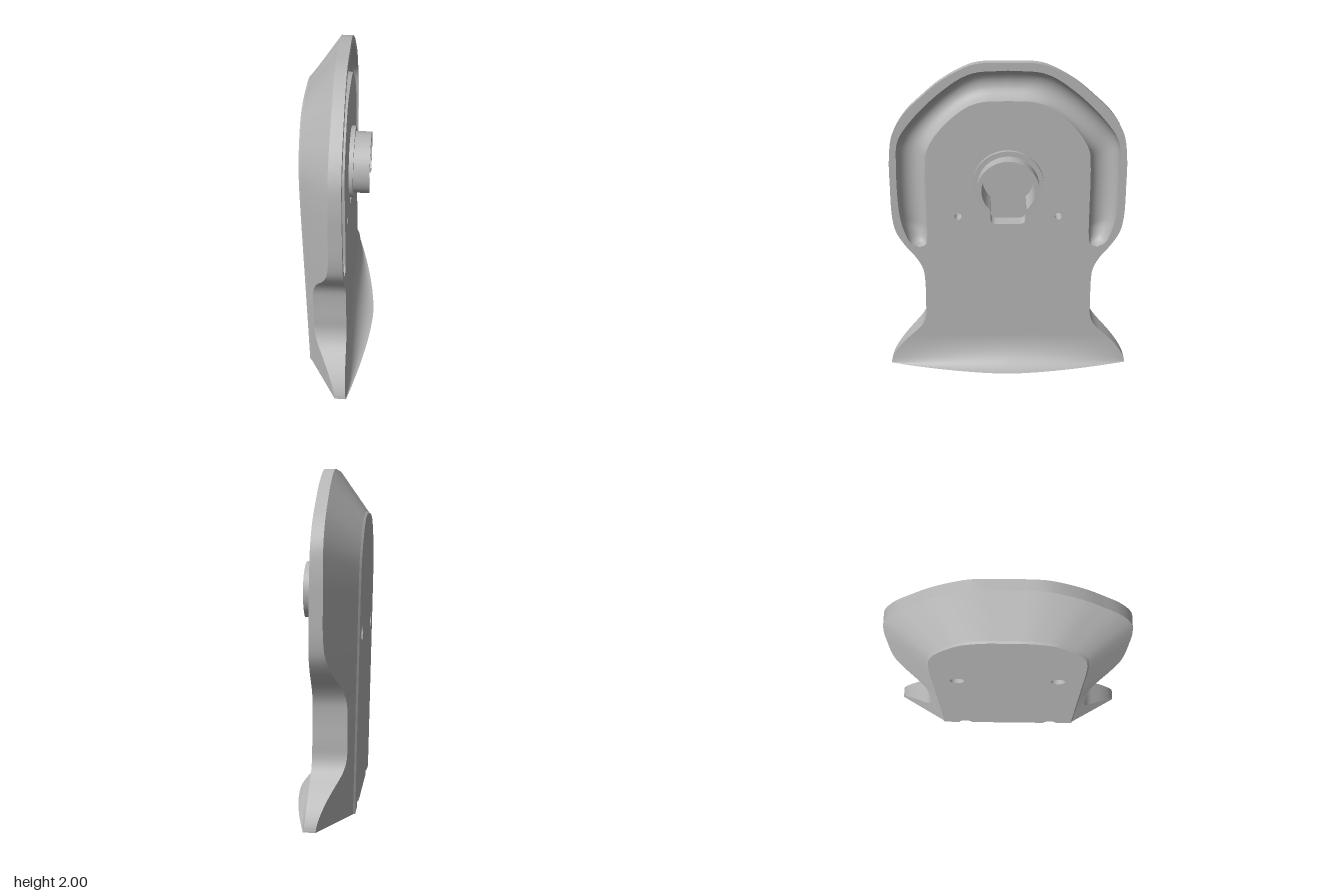
import * as THREE from 'three';
import { toCreasedNormals } from 'three/addons/utils/BufferGeometryUtils.js';

const FLARE = 0.2; // height of the flared foot
const bodyGrey = new THREE.MeshStandardMaterial({ color: 0xb6b6b6, side: THREE.DoubleSide });
bodyGrey.name = 'bodyGrey';

// Faces of the plate: slanted front (+x), flared at the foot, and slanted back (-x)
const wallX = (y) => 0.035 + 0.015 * (2 - y);
const backX = (y) => -(0.183 + 0.021 * y);
function frontX(y, z) {
  if (y >= FLARE) return wallX(y);
  const k = 1 - Math.sqrt(Math.max(0, 1 - (1 - y / FLARE) ** 2));
  const toe = 0.21 - 0.135 * Math.pow(Math.abs(z) / 0.78, 1.6);
  return wallX(y) + (toe - wallX(0)) * k;
}
const rimX = (p) => (p.y < 1.2 ? -0.03 - 0.6 * (0.72 - Math.abs(p.z)) : -0.03);

// Rows of [outer z, outer y, inner z, inner y], bottom to top
const bodyRows = [
  [0.645, 0.2, 0.475, 0.2], [0.565, 0.28, 0.475, 0.28], [0.536, 0.345, 0.475, 0.345],
  [0.532, 0.45, 0.475, 0.45], [0.53, 0.6, 0.475, 0.6], [0.54, 0.69, 0.475, 0.69],
  [0.58, 0.77, 0.475, 0.77], [0.65, 0.86, 0.475, 0.86], [0.7, 0.95, 0.475, 0.95],
  [0.718, 1.05, 0.475, 1.05], [0.72, 1.25, 0.475, 1.2], [0.716, 1.42, 0.47, 1.36],
  [0.69, 1.575, 0.45, 1.48], [0.615, 1.7, 0.405, 1.57], [0.51, 1.8, 0.34, 1.645],
  [0.4, 1.89, 0.26, 1.71], [0.245, 1.975, 0.16, 1.742], [0.16, 1.997, 0.1, 1.75], [0, 2, 0, 1.75],
];
const grooveRows = [
  [0.56, 0.843, 0.56, 0.843], [0.61, 0.87, 0.517, 0.86], [0.65, 0.96, 0.505, 0.92],
  [0.673, 1.08, 0.502, 1.05], [0.675, 1.4, 0.498, 1.38], [0.66, 1.53, 0.485, 1.48],
  [0.59, 1.64, 0.4, 1.61], [0.4, 1.825, 0.245, 1.738], [0.22, 1.935, 0.15, 1.77], [0, 1.955, 0, 1.777],
];

// Smooth half curve through two columns of a table
function halfCurve(rows, c, steps) {
  const curve = new THREE.CatmullRomCurve3(rows.map((r) => new THREE.Vector3(0, r[c + 1], r[c])));
  return Array.from({ length: steps + 1 }, (_, i) => curve.getPoint(i / steps));
}
const mirror = (half) => half.concat(half.slice(0, -1).reverse().map((p) => new THREE.Vector3(p.x, p.y, -p.z)));

// Surface from a rule fn(i, j) -> [x, y, z]
function grid(rows, cols, fn) {
  const pos = [], idx = [];
  for (let i = 0; i <= rows; i++) for (let j = 0; j <= cols; j++) pos.push(...fn(i, j));
  for (let i = 0; i < rows; i++) for (let j = 0; j < cols; j++) {
    const a = i * (cols + 1) + j, b = a + cols + 1;
    idx.push(a, b, a + 1, b, b + 1, a + 1);
  }
  const g = new THREE.BufferGeometry();
  g.setAttribute('position', new THREE.Float32BufferAttribute(pos, 3));
  g.setIndex(idx);
  return toCreasedNormals(g, 0.6);
}
const strip = (loop, a, b) => grid(loop.length - 1, 1, (i, j) => (j ? b : a)(loop[i], i));

// Flat sheet drawn in (z, y), placed at x = fx(y)
function sheet(shape, fx) {
  const g = new THREE.ShapeGeometry(shape, 24), p = g.attributes.position;
  for (let i = 0; i < p.count; i++) p.setXYZ(i, fx(p.getY(i)), p.getY(i), p.getX(i));
  g.computeVertexNormals();
  return g;
}
const zy = (p) => new THREE.Vector2(p.z, p.y);
const circle = (z, y, r) => new THREE.Path().absarc(z, y, r, 0, Math.PI * 2);

export function createModel() {
  const model = new THREE.Group();
  const add = (name, geometry) => {
    const m = new THREE.Mesh(geometry, bodyGrey);
    m.name = name;
    model.add(m);
    return m;
  };

  // Outline: flared foot, then the waist and rounded head
  const foot = [];
  for (let i = 0; i < 14; i++) {
    const y = FLARE * (1 - Math.cos((i / 14) * Math.PI / 2));
    foot.push(new THREE.Vector3(0, y, 0.645 + 0.133 * (1 - Math.pow(y / FLARE, 1.6))));
  }
  const upper = halfCurve(bodyRows, 0, 90);
  const outline = mirror([...foot, ...upper]);
  const plateau = mirror([...foot.map((p) => new THREE.Vector3(0, p.y, 0.475)), ...halfCurve(bodyRows, 2, 90)]);
  const inset = plateau.map((p) => new THREE.Vector3(0, p.y * 0.994, p.z * 0.978));

  // Side wall, bevel and the small lip around the back panel
  const rim = (p) => [rimX(p), p.y, p.z];
  const bevelEnd = (p, i) => [backX(plateau[i].y) + 0.012, plateau[i].y, plateau[i].z];
  add('sideWall', strip(outline, (p) => [frontX(p.y, p.z), p.y, p.z], rim));
  add('backBevel', strip(outline, rim, bevelEnd));
  add('backLip', strip(outline, bevelEnd, (p, i) => [backX(inset[i].y), inset[i].y, inset[i].z]));

  // Keyhole: round bore with a slot below it
  const cy = 1.26, bore = 0.16, slot = 0.11, a = Math.acos(slot / bore);
  const keyhole = new THREE.Path();
  keyhole.absarc(0, cy, bore, -a, Math.PI + a);
  keyhole.lineTo(-slot, 1.04);
  keyhole.quadraticCurveTo(-slot, 1, -0.07, 1);
  keyhole.lineTo(0.07, 1);
  keyhole.quadraticCurveTo(slot, 1, slot, 1.04);
  keyhole.closePath();

  // Front face with groove, keyhole and screw openings
  const outer = mirror(halfCurve(grooveRows, 0, 60)), inner = mirror(halfCurve(grooveRows, 2, 60));
  const face = new THREE.Shape(mirror(upper).map(zy));
  face.holes.push(new THREE.Path([...outer, ...inner.slice(1, -1).reverse()].map(zy)), keyhole);
  for (const s of [-1, 1]) face.holes.push(circle(s * 0.31, 1.05, 0.022));
  add('frontFace', sheet(face, wallX));

  // Flared foot of the front face
  const footRows = [...foot, upper[0]];
  add('footFlare', grid(footRows.length - 1, 40, (i, j) => {
    const { y, z: w } = footRows[i], z = w * (j / 20 - 1);
    return [frontX(y, z), y, z];
  }));

  // Arched groove with a rounded bed
  add('archGroove', grid(outer.length - 1, 14, (i, j) => {
    const f = (j / 14) * Math.PI, p = outer[i].clone().lerp(inner[i], (1 - Math.cos(f)) / 2);
    const depth = 0.09 * Math.min(1, outer[i].distanceTo(inner[i]) / 0.16);
    return [wallX(p.y) - depth * Math.sin(f), p.y, p.z];
  }));

  // Keyhole recess
  const keyPts = keyhole.getPoints(24), floorX = -0.05;
  add('keyholeWall', grid(keyPts.length - 1, 1, (i, j) => [j ? floorX : wallX(keyPts[i].y), keyPts[i].y, keyPts[i].x]));
  add('keyholeFloor', sheet(new THREE.Shape(keyPts), () => floorX));

  // Open collar and its flange
  const collar = (name, r, x0, x1) => {
    const b = Math.acos(slot / r), s = new THREE.Shape();
    s.absarc(0, cy, r, -b, Math.PI + b);
    s.absarc(0, cy, bore, Math.PI + a, -a, true);
    s.closePath();
    const g = new THREE.ExtrudeGeometry(s, { depth: x1 - x0, bevelEnabled: false, curveSegments: 48 });
    add(name, toCreasedNormals(g.rotateY(Math.PI / 2).translate(x0, 0, 0), 0.6));
  };
  collar('collarFlange', 0.218, 0.03, 0.07);
  collar('collar', 0.187, 0.06, 0.165);

  // Back panel with screw holes and half-round notches at the foot
  const backPts = inset.map(zy);
  for (const s of [-1, 1]) for (let i = 0; i <= 12; i++) {
    const f = Math.PI * (1 - i / 12);
    backPts.push(new THREE.Vector2(s * 0.31 + 0.045 * Math.cos(f), 0.045 * Math.sin(f)));
  }
  const back = new THREE.Shape(backPts);
  for (const s of [-1, 1]) back.holes.push(circle(s * 0.31, 1.05, 0.045));
  add('backPanel', sheet(back, backX));

  // Stepped screw bores: full ones, and half ones cut by the base
  const stepX = -0.02;
  const tube = (r, x0, x1, arc) => new THREE.CylinderGeometry(r, r, x1 - x0, 24, 1, true, 0, arc)
    .rotateZ(Math.PI / 2).translate((x0 + x1) / 2, 0, 0);
  const disc = (r0, r1, x, arc) => new THREE.RingGeometry(r0, r1, 24, 1, 0, arc).rotateY(-Math.PI / 2).translate(x, 0, 0);
  for (const s of [-1, 1]) for (const [y, arc] of [[1.05, Math.PI * 2], [0, Math.PI]]) {
    const parts = [
      add('screwCounterbore', tube(0.045, backX(y), stepX, arc)),
      add('screwShoulder', disc(0.022, 0.045, stepX, arc)),
      add('screwBore', tube(0.022, stepX, wallX(1.05), arc)),
    ];
    if (y === 0) parts.push(add('screwBoreEnd', disc(0, 0.022, wallX(1.05), arc)));
    parts.forEach((m) => m.position.set(0, y, s * 0.31));
  }

  // Base, drawn in (x, z), with the notches and a rectangular pocket
  const basePts = [], w = foot[0].z, xb = backX(0);
  for (let j = 0; j <= 40; j++) basePts.push([frontX(0, w * (j / 20 - 1)), w * (j / 20 - 1)]);
  basePts.push([rimX(foot[0]), w], [xb + 0.012, 0.475], [xb, 0.4645]);
  for (const c of [0.31, -0.31]) basePts.push([xb, c + 0.045], [stepX, c + 0.045], [stepX, c + 0.022],
    [wallX(1.05), c + 0.022], [wallX(1.05), c - 0.022], [stepX, c - 0.022], [stepX, c - 0.045], [xb, c - 0.045]);
  basePts.push([xb, -0.4645], [xb + 0.012, -0.475], [rimX(foot[0]), -w]);
  const base = new THREE.Shape(basePts.map((p) => new THREE.Vector2(...p)));
  const px0 = -0.1, px1 = 0.06, pz = 0.24;
  base.holes.push(new THREE.Path([[px0, -pz], [px1, -pz], [px1, pz], [px0, pz]].map((p) => new THREE.Vector2(...p))));
  add('base', new THREE.ShapeGeometry(base).rotateX(Math.PI / 2));

  // Pocket walls and roof, open at the bottom
  const pocket = new THREE.BoxGeometry(px1 - px0, 0.12, pz * 2).translate((px0 + px1) / 2, 0.06, 0);
  pocket.setIndex(Array.from(pocket.index.array).filter((_, i) => i < 18 || i > 23));
  pocket.clearGroups();
  add('basePocket', pocket);

  return model;
}
